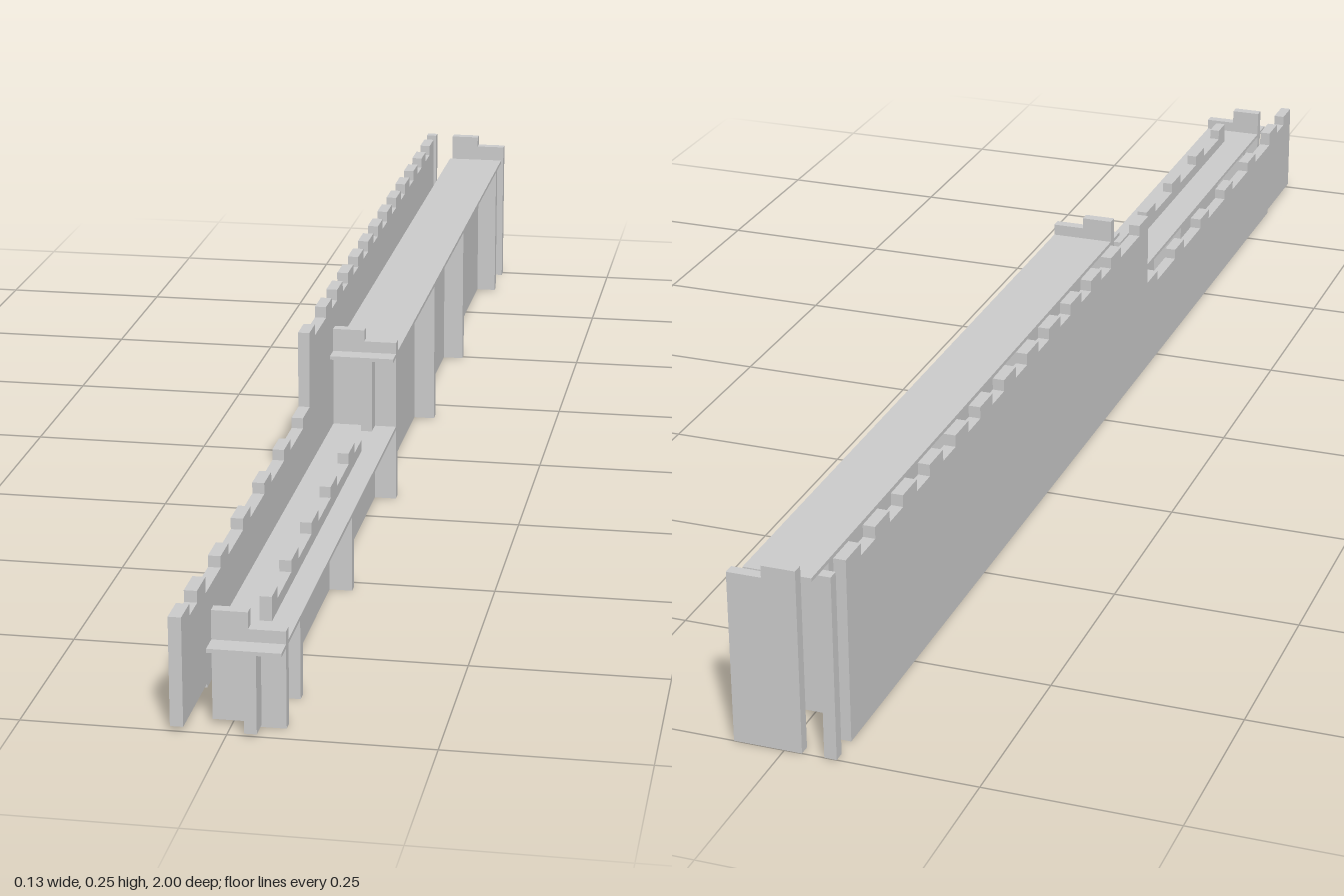
import * as THREE from 'three';

const T = 0.015; // sheet thickness
const X0 = -0.023, X1 = 0.066; // width of ribs and walkways
const WX = 0.021; // near face of the inner wall

export function createModel() {
  const group = new THREE.Group();
  const mat = new THREE.MeshStandardMaterial({ color: 0xcccccc, flatShading: true });

  const add = (name, geo) => {
    const m = new THREE.Mesh(geo, mat);
    m.name = name;
    group.add(m);
    return m;
  };
  const box = (name, x0, x1, y0, y1, z0, z1) =>
    add(name, new THREE.BoxGeometry(x1 - x0, y1 - y0, z1 - z0))
      .position.set((x0 + x1) / 2, (y0 + y1) / 2, (z0 + z1) / 2);
  const sheet = (pts, t = T) => new THREE.ExtrudeGeometry(
    new THREE.Shape(pts.map(([a, b]) => new THREE.Vector2(a, b))), { depth: t, bevelEnabled: false });
  // Sheet standing along z: outline given as [z, y]
  const longSheet = (name, x, pts, t) => {
    const g = sheet(pts.map(([z, y]) => [-z, y]), t);
    g.rotateY(Math.PI / 2);
    add(name, g).position.x = x;
  };
  // Sheet standing across the model: outline given as [x, y]
  const crossSheet = (name, z, pts) => { add(name, sheet(pts)).position.z = z - T / 2; };

  // Square-toothed top edge, listed from high z to low z
  const teeth = (list, base, top) =>
    list.flatMap(([a, b]) => [[a, base], [a, top], [b, top], [b, base]]);
  const lowTeeth = [0.785, 0.652, 0.518, 0.385].map((z) => [z, z - 0.046]);
  const highTeeth = [];
  for (let i = 0; i < 11; i++) highTeeth.push([0.072 - i * 0.0891, 0.026 - i * 0.0891]);

  // Outer wall: stepped, with merlons along the top
  longSheet('outerWall', -0.068, [
    [-0.955, 0], [0.87, 0], [0.87, 0.006], [1, 0.006],
    [1, 0.144], [0.957, 0.144], [0.957, 0.129],
    [0.916, 0.129], [0.916, 0.144], [0.87, 0.144], [0.87, 0.123],
    ...teeth(lowTeeth, 0.123, 0.138),
    [0.25, 0.123], [0.25, 0.138], [0.2, 0.138],
    [0.2, 0.246], [0.158, 0.246], [0.158, 0.23],
    ...teeth(highTeeth, 0.23, 0.246),
    [-0.909, 0.23], [-0.909, 0.246], [-0.955, 0.246],
  ], 0.016);
  box('outerWallEndStrip', -0.068, -0.052, 0, 0.246, -1, -0.985);

  // Inner wall under the walkways
  longSheet('innerWall', WX, [
    [-0.955, 0], [0.87, 0], [0.87, 0.003], [1, 0.003], [1, 0.102], [0.175, 0.102],
    [0.175, 0.107], [0.2, 0.107], [0.2, 0.209], [-0.955, 0.209],
  ]);

  // Low parapet on the lower walkway
  longSheet('innerParapet', WX, [
    [0.285, 0.107], [0.905, 0.107], [0.905, 0.138], [0.87, 0.138], [0.87, 0.123],
    ...teeth(lowTeeth, 0.123, 0.138), [0.285, 0.123],
  ]);

  // Walkways
  box('lowerWalkway', X0, X1, 0.102, 0.107, 0.16, 1);
  box('upperWalkway', X0, X1, 0.209, 0.214, -0.955, 0.2);

  // Cross ribs under the walkways
  for (const z of [0.877, 0.522]) box('lowerRib', X0, X1, 0, 0.102, z - T / 2, z + T / 2);
  for (const z of [-0.193, -0.5, -0.897]) box('upperRib', X0, X1, 0, 0.209, z - T / 2, z + T / 2);

  // Stepped cross walls that rise above the walkways
  const stepped = (high, low, foot = 0) => [
    [X0, foot], [WX, foot], [WX, 0], [X1, 0], [X1, low], [WX, low], [WX, high], [X0, high],
  ];
  crossSheet('frontCrossWall', 0.964, stepped(0.144, 0.123, 0.006));
  crossSheet('middleCrossWall', 0.167, stepped(0.246, 0.23));
  crossSheet('backCrossWall', -0.9925, stepped(0.246, 0.23));

  return group;
}
